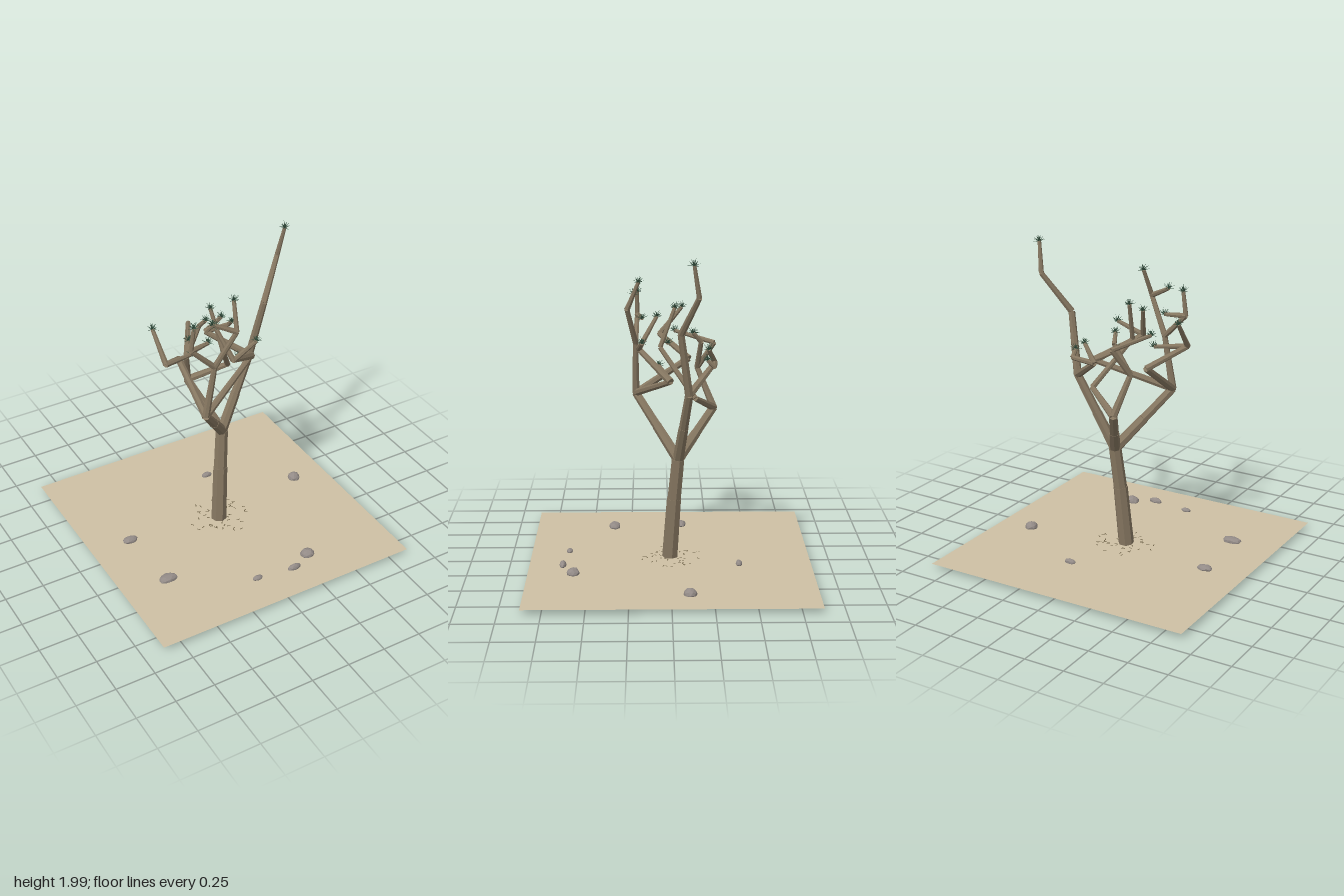
import * as THREE from 'three';
import { mergeGeometries } from 'three/addons/utils/BufferGeometryUtils.js';

const mat = (color, side = THREE.FrontSide) =>
  new THREE.MeshStandardMaterial({ color, flatShading: true, side });
const bark = mat(0x857660);
const leafGreen = mat(0x35503f, THREE.DoubleSide);
const sand = mat(0xcdc0a4, THREE.DoubleSide);
const stone = mat(0x938b87);
const dry = mat(0x6b5f45, THREE.DoubleSide);
const UP = new THREE.Vector3(0, 1, 0);

// small repeatable number source
let seed = 7;
const rnd = () => (seed = (seed * 16807) % 2147483647) / 2147483647;

function add(parent, name, geometry, material) {
  const mesh = new THREE.Mesh(geometry, material);
  mesh.name = name;
  parent.add(mesh);
  return mesh;
}

// tapered seven-sided limb between two points
function limb(parent, name, a, b, r0, r1) {
  const p = new THREE.Vector3(...a), q = new THREE.Vector3(...b);
  const dir = q.clone().sub(p);
  const mesh = add(parent, name, new THREE.CylinderGeometry(r1, r0, dir.length(), 7), bark);
  mesh.position.copy(p).add(q).multiplyScalar(0.5);
  mesh.quaternion.setFromUnitVectors(UP, dir.normalize());
}

// limb chain through several points with an even taper
function chain(parent, name, points, r0, r1) {
  const n = points.length - 1;
  for (let i = 0; i < n; i++)
    limb(parent, name, points[i], points[i + 1],
      r0 + (r1 - r0) * (i / n), r0 + (r1 - r0) * ((i + 1) / n));
}

// spiky rosette of narrow leaves
function tuftGeometry() {
  const leaves = [];
  for (let i = 0; i < 20; i++) {
    const len = 0.034 + 0.012 * rnd();
    const g = new THREE.ConeGeometry(0.0035, len, 3);
    g.translate(0, len / 2, 0);
    g.rotateZ(-(0.15 + 1.5 * (i / 19)));
    g.rotateY(i * 2.4);
    leaves.push(g);
  }
  return mergeGeometries(leaves);
}

export function createModel() {
  seed = 7;
  const model = new THREE.Group();
  model.name = 'desertTree';

  // ground
  const ground = add(model, 'ground', new THREE.PlaneGeometry(1.745, 1.745), sand);
  ground.rotation.x = -Math.PI / 2;
  ground.position.y = 0.04;

  // trunk and its fork
  const fork = [0.05, 0.69, -0.05];
  limb(model, 'trunkLower', [0, 0.04, 0], [0.026, 0.43, -0.026], 0.05, 0.046);
  limb(model, 'trunkUpper', [0.026, 0.42, -0.026], fork, 0.043, 0.04);

  // forks of the crown
  const left = [0.28, 1.15, -0.11], right = [-0.21, 1.05, 0.21], back = [-0.07, 0.99, -0.27];
  const frontFork = [-0.15, 1.38, 0.21], highFork = [-0.03, 1.61, 0.26];
  const outerFork = [-0.3, 1.53, 0.2], sideFork = [-0.39, 1.39, 0.06];
  const crossFork = [0.23, 1.22, 0], midFork = [-0.01, 1.37, 0.19];
  const backFork = [-0.13, 1.23, -0.17], innerFork = [0.15, 1.1, -0.15];
  const leftFork = [0.06, 1.3, -0.27];

  for (const end of [left, right, back]) {
    const m = fork.map((v, i) => (v + end[i]) / 2);
    limb(model, 'mainBranch', fork, m, 0.035, 0.031);
    limb(model, 'mainBranch', m, end, 0.029, 0.026);
  }

  const branches = [
    [right, frontFork], [right, [-0.21, 1.27, -0.12], sideFork],
    [right, crossFork], [crossFork, midFork],
    [back, backFork], [back, innerFork], [left, leftFork],
  ];
  for (const points of branches) chain(model, 'branch', points, 0.024, 0.017);
  chain(model, 'tallBranch', [left, [0.35, 1.53, -0.06], [0.5, 1.77, -0.16], [0.53, 1.96, -0.13]], 0.026, 0.011);

  // twigs, each ending in a tuft
  const twigs = [
    [sideFork, [-0.4, 1.56, -0.08]], [sideFork, [-0.19, 1.37, 0.01]],
    [frontFork, outerFork, [-0.28, 1.68, 0.2]], [outerFork, [-0.17, 1.53, 0.17]],
    [frontFork, highFork, [-0.01, 1.78, 0.19]], [highFork, [-0.17, 1.68, 0.22]],
    [midFork, [0.16, 1.44, 0.17]], [midFork, [-0.07, 1.56, 0.08]],
    [crossFork, [0.09, 1.29, 0.07]],
    [innerFork, [-0.01, 1.38, 0.06], [-0.04, 1.62, -0.03]],
    [backFork, [-0.03, 1.41, -0.19], [-0.01, 1.47, -0.14]],
    [backFork, [-0.06, 1.4, -0.27], [-0.19, 1.45, -0.03]],
    [leftFork, [0.22, 1.31, -0.26], [0.22, 1.35, -0.22]],
    [leftFork, [0.15, 1.4, -0.23]],
  ];
  for (const points of twigs) chain(model, 'twig', points, 0.018, 0.012);

  const tuft = tuftGeometry();
  const tips = [...twigs.map((t) => t[t.length - 1]), [0.53, 1.96, -0.13]];
  tips.forEach((p, i) => {
    const mesh = add(model, 'leafTuft', tuft, leafGreen);
    mesh.position.set(...p);
    mesh.rotation.y = i * 1.3;
  });

  // rocks: x, z, half width, half depth, half height
  const rocks = [
    [-0.605, -0.08, 0.053, 0.034, 0.024], [0.15, -0.425, 0.04, 0.021, 0.021],
    [0.65, -0.11, 0.043, 0.043, 0.037], [-0.57, 0.36, 0.066, 0.04, 0.026],
    [0.3, 0.595, 0.05, 0.043, 0.034], [0.16, 0.665, 0.048, 0.022, 0.027],
    [-0.09, 0.635, 0.036, 0.021, 0.016],
  ];
  for (const [x, z, w, d, h] of rocks) {
    const g = new THREE.IcosahedronGeometry(1, 1);
    const p = g.attributes.position;
    for (let i = 0; i < p.count; i++) {
      const a = p.getX(i), b = p.getY(i), c = p.getZ(i);
      const k = 0.94 + 0.08 * Math.sin(a * 4 + x * 30) * Math.cos(b * 3 + c * 4 + z * 20);
      p.setXYZ(i, a * k, b * k, c * k);
    }
    g.scale(w, h, d);
    g.computeVertexNormals();
    add(model, 'rock', g, stone).position.set(x, 0.046, z);
  }

  // fallen leaves scattered round the trunk
  const litter = [];
  for (let i = 0; i < 45; i++) {
    const g = new THREE.PlaneGeometry(0.022, 0.006);
    const a = rnd() * Math.PI * 2, r = 0.06 + 0.14 * rnd();
    g.rotateX(-Math.PI / 2);
    g.rotateY(rnd() * Math.PI);
    g.translate(r * Math.cos(a), 0.043, r * Math.sin(a));
    litter.push(g);
  }
  add(model, 'fallenLeaves', mergeGeometries(litter), dry);

  return model;
}
